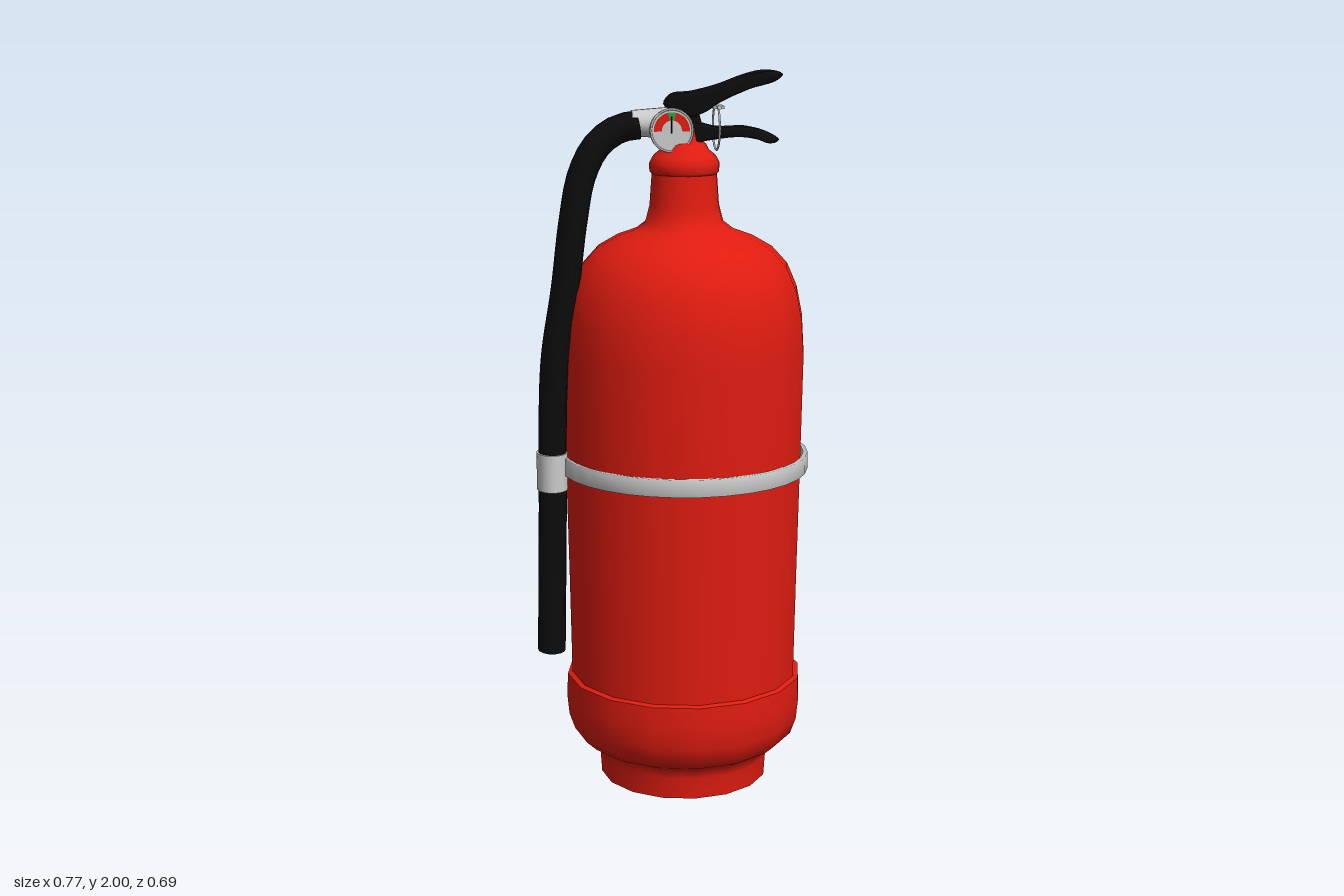
import * as THREE from 'three';

const AXIS = 0.037; // x of the cylinder's own axis
const mat = (color, side = THREE.FrontSide) => new THREE.MeshStandardMaterial({ color, side });
const red = mat(0xe01c10, THREE.DoubleSide), black = mat(0x0c0c0c), grey = mat(0xcccccc);
const green = mat(0x2fa04a), dialRed = mat(0xe01c10);
const v3 = (p) => new THREE.Vector3(...p);

export function createModel() {
  const model = new THREE.Group();
  const add = (name, geometry, material, x = 0, y = 0, z = 0) => {
    const mesh = new THREE.Mesh(geometry, material);
    mesh.name = name;
    mesh.position.set(x, y, z);
    model.add(mesh);
    return mesh;
  };
  const lathe = (name, pts, material, sides = 16) =>
    add(name, new THREE.LatheGeometry(pts.map((p) => new THREE.Vector2(...p)), sides), material, AXIS);

  // Cylinder, split where the profile has a hard edge
  lathe('baseUnderside', [[0, 0.13], [0.12, 0.12], [0.2, 0.08], [0.236, 0]], red);
  lathe('baseSkirt', [[0.238, 0], [0.242, 0.06], [0.25, 0.09], [0.285, 0.108], [0.315, 0.135],
    [0.331, 0.18], [0.337, 0.24], [0.334, 0.303]], red);
  lathe('skirtLip', [[0.334, 0.303], [0.321, 0.308]], red);
  lathe('tank', [[0.321, 0.308], [0.326, 0.6], [0.333, 0.95], [0.338, 1.23], [0.332, 1.33], [0.316, 1.41],
    [0.288, 1.475], [0.245, 1.522], [0.19, 1.554], [0.135, 1.574], [0.108, 1.595], [0.096, 1.64],
    [0.09, 1.725]], red);
  lathe('neckCollar', [[0.088, 1.725], [0.096, 1.732], [0.097, 1.755], [0.086, 1.775], [0.067, 1.79],
    [0.06, 1.805], [0.046, 1.815], [0.042, 1.85], [0, 1.85]], red);

  // Strap round the tank
  lathe('strap', [[0.335, 0.902], [0.347, 0.902], [0.347, 0.95], [0.335, 0.95]], mat(0xcccccc, THREE.DoubleSide), 32);

  // Hose: oval in section, so the path is squeezed in z and stretched back
  const STRETCH = 1.25;
  const path = new THREE.CatmullRomCurve3([
    [-0.09, 1.857, -0.005], [-0.14, 1.848, -0.003], [-0.2, 1.808, 0.01], [-0.245, 1.73, 0.026],
    [-0.272, 1.6, 0.033], [-0.295, 1.42, 0.035], [-0.325, 1.23, 0.035], [-0.334, 1.05, 0.035],
    [-0.337, 0.8, 0.035], [-0.345, 0.39, 0.035],
  ].map(([x, y, z]) => v3([x, y, z / STRETCH])));
  add('hose', new THREE.TubeGeometry(path, 48, 0.039, 14), black).scale.z = STRETCH;
  const hoseEnd = add('hoseEnd', new THREE.CircleGeometry(0.039, 14), black, -0.345, 0.39, 0.035);
  hoseEnd.rotation.x = Math.PI / 2;
  hoseEnd.scale.y = STRETCH;
  add('hoseClip', new THREE.CylinderGeometry(0.043, 0.043, 0.105, 20), grey, -0.337, 0.912, 0.035).scale.z = 1.28;

  // Hose fitting
  const fitting = add('hoseFitting', new THREE.CylinderGeometry(0.043, 0.035, 0.107, 18), grey, -0.054, 1.862, -0.004);
  fitting.rotation.z = -Math.PI / 2 - 0.0;
  fitting.scale.z = 1.2;

  // Valve block and levers: side outlines extruded across z with soft edges
  const extruded = (name, pts, width, smooth) => {
    const shape = new THREE.Shape();
    if (smooth) {
      const loop = new THREE.CatmullRomCurve3(pts.map(([x, y]) => v3([x, y, 0])), true, 'centripetal');
      shape.setFromPoints(loop.getPoints(48).slice(0, -1).map((p) => new THREE.Vector2(p.x, p.y)));
    } else shape.setFromPoints(pts.map((p) => new THREE.Vector2(...p)));
    const bevel = 0.008;
    const g = new THREE.ExtrudeGeometry(shape, {
      depth: width - 2 * bevel, steps: 10, bevelSize: bevel, bevelOffset: -bevel, bevelThickness: bevel, bevelSegments: 3,
    });
    g.translate(0, 0, bevel - width / 2);
    // Round the free end seen from above
    const pos = g.attributes.position;
    for (let i = 0; i < pos.count; i++) {
      const x = pos.getX(i), t = Math.abs(pos.getZ(i)) / (width / 2);
      const k = THREE.MathUtils.clamp((x - 0.2) / 0.1, 0, 1);
      pos.setX(i, x - 0.035 * k * t ** 4);
    }
    g.computeVertexNormals();
    return add(name, g, black, 0, 0, -0.007);
  };
  extruded('valveBlock', [[-0.012, 1.825], [0.02, 1.8], [0.075, 1.81], [0.082, 1.86], [0.07, 1.9],
    [0.03, 1.925], [-0.005, 1.915]], 0.08, false);
  extruded('upperLever', [[-0.015, 1.91], [0.005, 1.938], [0.06, 1.945], [0.13, 1.962], [0.21, 1.99], [0.285, 2.0],
    [0.306, 1.99], [0.285, 1.972], [0.21, 1.952], [0.13, 1.918], [0.085, 1.89], [0.03, 1.88]], 0.095, true);
  extruded('lowerLever', [[0.04, 1.868], [0.08, 1.862], [0.13, 1.85], [0.21, 1.85], [0.265, 1.836], [0.297, 1.815],
    [0.285, 1.806], [0.24, 1.817], [0.18, 1.824], [0.1, 1.816], [0.05, 1.81]], 0.085, true);

  // Safety pin with its pull ring
  const pin = add('safetyPin', new THREE.CylinderGeometry(0.006, 0.006, 0.11, 8), grey, 0.125, 1.905, -0.003);
  pin.rotation.x = Math.PI / 2;
  add('pinHead', new THREE.BoxGeometry(0.03, 0.008, 0.09), grey, 0.125, 1.905, -0.005);
  add('pullRing', new THREE.TorusGeometry(0.062, 0.003, 6, 32), grey, 0.125, 1.85, -0.002).rotation.y = Math.PI / 2;

  // Pressure gauge: case, rim and coloured dial bands
  const gauge = new THREE.Group();
  gauge.name = 'pressureGauge';
  gauge.position.set(-0.004, 1.845, 0.042);
  model.add(gauge);
  const part = (name, geometry, material, z) => {
    const mesh = add(name, geometry, material, 0, 0, z);
    gauge.add(mesh);
    return mesh;
  };
  part('gaugeCase', new THREE.CylinderGeometry(0.06, 0.06, 0.009, 28), grey, 0.004).rotation.x = Math.PI / 2;
  part('gaugeStem', new THREE.CylinderGeometry(0.02, 0.02, 0.03, 12), grey, -0.012).rotation.x = Math.PI / 2;
  part('gaugeRim', new THREE.TorusGeometry(0.057, 0.003, 6, 28), grey, 0.0085);
  const band = (name, from, to, material) =>
    part(name, new THREE.RingGeometry(0.027, 0.049, 10, 1, from, to - from), material, 0.0095);
  band('lowBand', 1.8, 3.2, dialRed);
  band('goodBand', 1.34, 1.8, green);
  band('highBand', -0.06, 1.34, dialRed);
  part('needle', new THREE.BoxGeometry(0.004, 0.045, 0.001), black, 0.0102).position.y = 0.015;

  // Centre the whole on x and z, standing on the ground
  const box = new THREE.Box3().setFromObject(model);
  const shift = box.getCenter(new THREE.Vector3()).setY(box.min.y);
  model.children.forEach((child) => child.position.sub(shift));
  return model;
}
